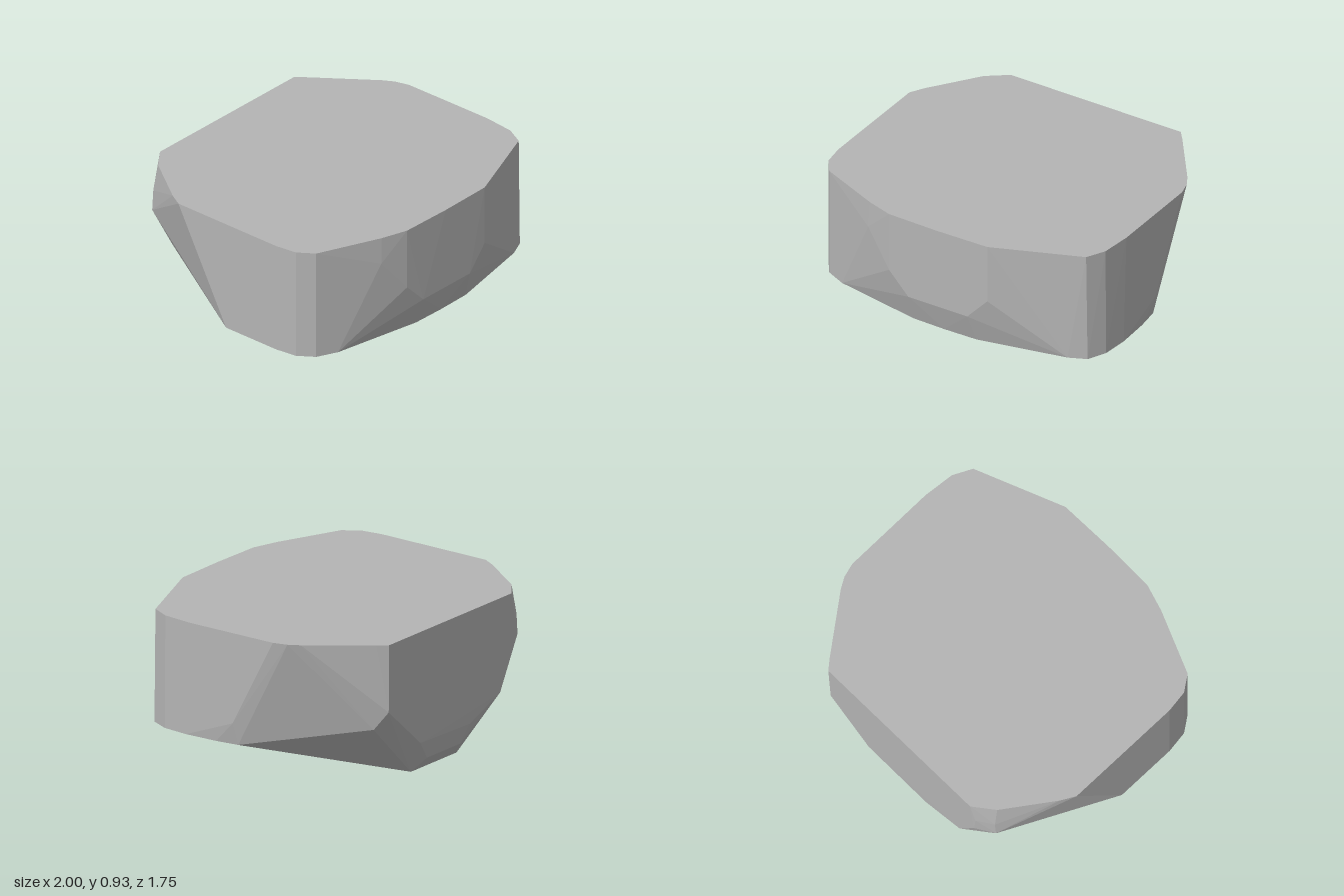
import * as THREE from 'three';
import { ConvexGeometry } from 'three/addons/geometries/ConvexGeometry.js';

const TOP = 0.93, RIM = 0.22;

// flat top outline, as [x, z]
const topOutline = [
  [-0.6, -0.88], [0.61, -0.88], [0.66, -0.82], [0.93, -0.46], [0.97, -0.39], [0.995, -0.3],
  [1, 0.32], [0.98, 0.52], [0.92, 0.64], [0.36, 0.863], [0, 0.87], [-0.34, 0.863],
  [-0.51, 0.81], [-0.91, 0.64], [-0.98, 0.54], [-1, 0.4], [-1, -0.38], [-0.95, -0.47], [-0.73, -0.78],
];

// lower rim where the walls meet the sloping underside, as [x, z]
const rimOutline = [
  [0.97, -0.02], [0.99, 0.13], [1, 0.35], [0.985, 0.52], [0.93, 0.64], [0.82, 0.69],
  [0.25, 0.81], [0.02, 0.815], [-0.2, 0.81], [-0.78, 0.7], [-0.91, 0.64], [-0.98, 0.54],
  [-1, 0.4], [-1, 0],
];

// chipped corners and underside, as [x, y, z]
const chips = [
  // front face
  [-0.2, 0.4, 0.868], [0.22, 0.4, 0.868], [0.36, 0.55, 0.863], [-0.34, 0.54, 0.863], [-0.52, 0.76, 0.815],
  // back face
  [0.6, 0.5, -0.87], [0.28, 0.22, -0.865], [-0.21, 0.21, -0.865], [-0.5, 0.33, -0.87],
  [-0.63, 0.6, -0.875], [-0.64, 0.75, -0.875],
  // back corners
  [0.63, 0.38, -0.78], [0.63, 0.5, -0.81], [1, 0.36, 0],
  [-0.75, 0.62, -0.81], [-0.74, 0.75, -0.81], [-0.6, 0.33, -0.78],
  // underside
  [0.17, 0.09, -0.83], [-0.16, 0.09, -0.83], [0.25, 0.01, -0.77], [-0.2, 0.01, -0.77],
  [0.2, 0, -0.66], [-0.18, 0, -0.66], [0.22, 0.005, -0.38], [-0.2, 0.005, -0.38],
];

export function createModel() {
  const stone = new THREE.MeshStandardMaterial({ color: 0xb4b4b4 });
  stone.name = 'stone grey';
  stone.flatShading = true;

  const points = [
    ...topOutline.map(([x, z]) => new THREE.Vector3(x, TOP, z)),
    ...rimOutline.map(([x, z]) => new THREE.Vector3(x, RIM, z)),
    ...chips.map((p) => new THREE.Vector3(...p)),
  ];

  const rock = new THREE.Mesh(new ConvexGeometry(points), stone);
  rock.name = 'rock';

  const model = new THREE.Group();
  model.name = 'flatToppedRock';
  model.add(rock);
  return model;
}
